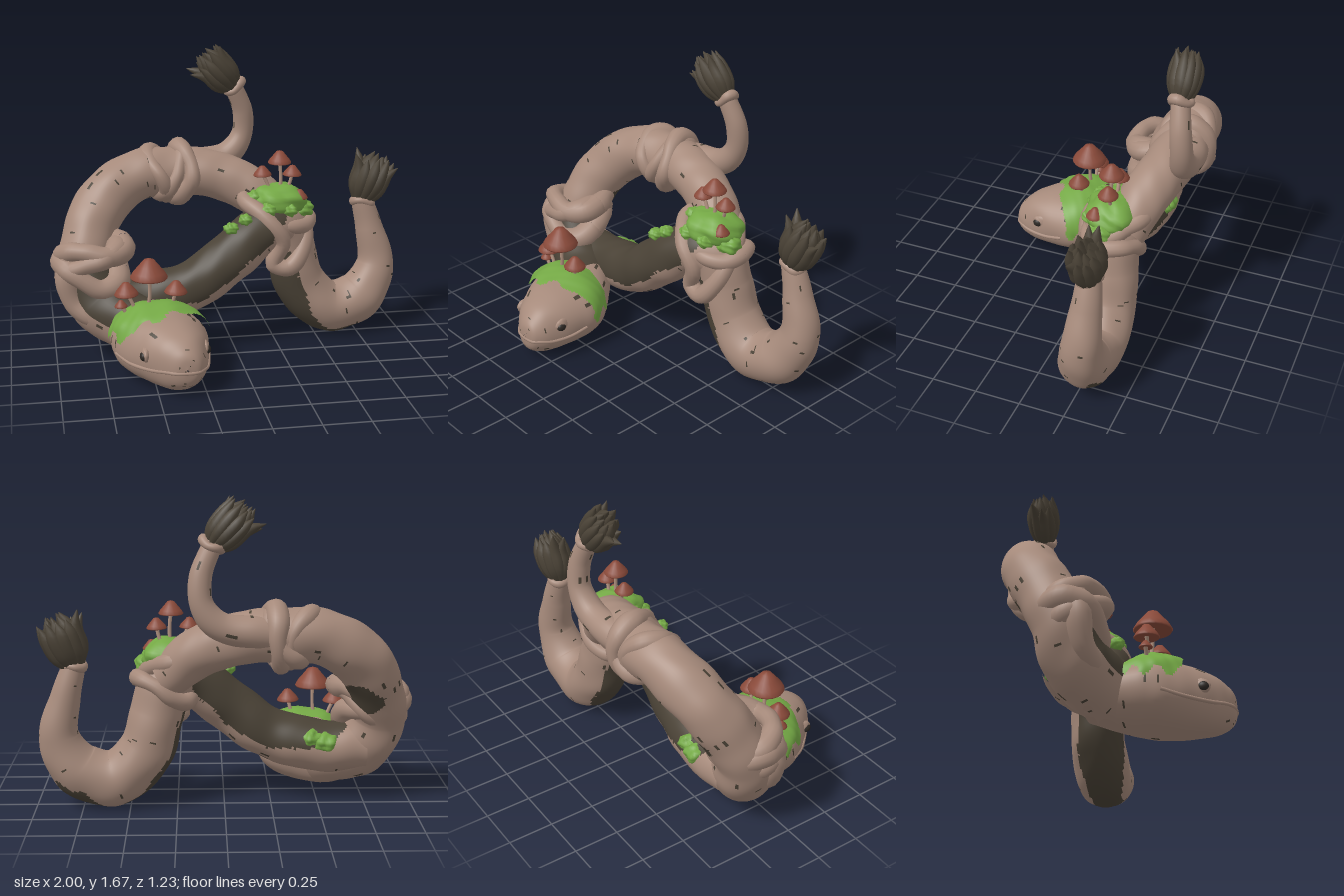
import * as THREE from 'three';

const V = (x, y, z) => new THREE.Vector3(x, y, z);
const mat = (name, color) => Object.assign(new THREE.MeshStandardMaterial({ color }), { name });
const skin = mat('skin', 0xa68a7b), dark = mat('dark bark', 0x4a4236), moss = mat('moss', 0x74a845);
const cap = mat('mushroom cap', 0x8a4a3a), stalk = mat('mushroom stalk', 0xb0917f), eyeMat = mat('eye', 0x2e2925);
const TAU = Math.PI * 2;
const hash = (i, j) => { const s = Math.sin(i * 127.1 + j * 311.7) * 43758.5453; return s - Math.floor(s); };
const wave = p => Math.sin(p.x * 23 + p.y * 11) * 0.5 + Math.sin(p.y * 29 - p.z * 17) * 0.3 + Math.sin(p.z * 41 + p.x * 37) * 0.2;
// Short cracks in the hide, along or around the limb
const crack = (i, j) => hash(Math.floor(i / 4), j + 31) < 0.008 || hash(i + 7, Math.floor(j / 2)) < 0.006;

// Closed-around surface; pick() gives each quad a material index, or -1 to leave it out
function surface(name, nu, nv, fn, mats, pick = () => 0) {
  const pos = [], lists = mats.map(() => []);
  for (let i = 0; i <= nu; i++) for (let j = 0; j < nv; j++) pos.push(...fn(i / nu, j / nv * TAU, i).toArray());
  const p = V(0, 0, 0);
  for (let i = 0; i < nu; i++) for (let j = 0; j < nv; j++) {
    const a = i * nv + j, d = i * nv + (j + 1) % nv, b = a + nv, c = d + nv;
    const k = pick(i, j, p.fromArray(pos, a * 3));
    if (k >= 0) lists[k].push(a, d, b, d, c, b);
  }
  const g = new THREE.BufferGeometry();
  g.setAttribute('position', new THREE.Float32BufferAttribute(pos, 3));
  g.setIndex(lists.flat());
  let start = 0;
  lists.forEach((l, k) => { g.addGroup(start, l.length, k); start += l.length; });
  g.computeVertexNormals();
  const m = new THREE.Mesh(g, mats.length > 1 ? mats : mats[0]);
  m.name = name;
  return m;
}

// Tube with varying radius. Row: x, y, z, radius, then optional dark direction and threshold
function tube(name, rows, { nu = 60, nv = 14, material = skin, closed = false, bump = 0.04 } = {}) {
  const path = new THREE.CatmullRomCurve3(rows.map(r => V(r[0], r[1], r[2])), closed);
  const aux = new THREE.CatmullRomCurve3(rows.map(r => V(r[3], r[7] ?? 2, 0)), closed, 'catmullrom');
  const dirs = rows.map(r => V(r[4] ?? 0, r[5] ?? 1, r[6] ?? 0).normalize());
  const painted = rows[0].length > 4, frames = [];
  let n = V(0.31, 0.2, 0.93);
  for (let i = 0; i <= nu; i++) {
    const t = i / nu, T = path.getTangent(t);
    n = n.clone().addScaledVector(T, -n.dot(T)).normalize();
    const f = t * (rows.length - 1), k = Math.min(Math.floor(f), rows.length - 2);
    const a = aux.getPoint(t);
    frames.push({ c: path.getPoint(t), n, b: T.clone().cross(n), r: a.x, thr: a.y,
      d: painted ? dirs[k].clone().lerp(dirs[k + 1], f - k).normalize() : null });
  }
  const radial = (f, v) => f.n.clone().multiplyScalar(Math.cos(v)).addScaledVector(f.b, Math.sin(v));
  const fn = (u, v, i) => {
    const f = frames[i], o = radial(f, v), p = f.c.clone().addScaledVector(o, f.r);
    return p.addScaledVector(o, f.r * bump * wave(p));
  };
  const pick = (i, j, p) => {
    const f = frames[i];
    const edge = f.thr + 0.13 * wave(p) + 0.03 * (hash(i, j) - 0.5);
    return radial(f, (j + 0.5) / nv * TAU).dot(f.d) > edge || crack(i, j) ? 1 : 0;
  };
  return painted ? surface(name, nu, nv, fn, [skin, dark], pick) : surface(name, nu, nv, fn, [material]);
}

// Rope ring wound around a limb
function wrap(name, c, axis, R, r, wob = 0.02) {
  const q = new THREE.Quaternion().setFromUnitVectors(V(0, 1, 0), axis.normalize());
  const rows = [];
  for (let i = 0; i < 10; i++) {
    const a = i / 10 * TAU, k = R * (1 + 0.06 * Math.sin(3 * a + c.x * 9));
    const p = V(Math.cos(a) * k, wob * Math.sin(2 * a + c.y * 5), Math.sin(a) * k).applyQuaternion(q).add(c);
    rows.push([p.x, p.y, p.z, r * (1 + 0.18 * Math.sin(2 * a + 1))]);
  }
  return tube(name, rows, { closed: true, bump: 0.12 });
}

// Lumpy ellipsoid
function blob(name, c, s, material, rough = 0.12) {
  return surface(name, 20, 28, (u, v) => {
    const th = u * Math.PI, p = V(Math.cos(v) * Math.sin(th), -Math.cos(th), -Math.sin(v) * Math.sin(th));
    const k = 1 + rough * wave(p.clone().multiplyScalar(0.3).add(c)) + rough * 0.4 * Math.sin(5 * v + c.x * 40) * Math.sin(th);
    return p.multiplyScalar(k).multiply(s).add(c);
  }, [material]);
}

// Leafy tail tuft, wider across than deep, with a few leaf tips turned out
function tuft(name, base, dir, L, R) {
  const g = new THREE.Group();
  g.name = name;
  const leaf = (a, len, w, mid, tip) => {
    const row = (k, y, r) => [Math.cos(a) * k * R, y * len, Math.sin(a) * k * R * 0.72, r];
    g.add(tube('tuftLeaf', [row(0.25, -0.03, w * 0.6), row(mid * 0.8, 0.3, w), row(mid, 0.68, w * 0.85), row(tip, 1, 0.002)],
      { nu: 12, nv: 8, material: dark, bump: 0.1 }));
  };
  for (let i = 0; i < 11; i++) {
    const a = i / 11 * TAU, out = Math.abs(Math.cos(a));
    leaf(a, L * (0.78 + 0.2 * hash(i, 3)), R * 0.32, 0.7, 0.55 + 0.6 * out * hash(i, 8) + 0.15 * out);
  }
  for (let i = 0; i < 7; i++) leaf(i / 7 * TAU + 0.3, L * (0.92 + 0.1 * hash(i, 5)), R * 0.36, 0.42, 0.3);
  g.position.copy(base);
  g.quaternion.setFromUnitVectors(V(0, 1, 0), dir.clone().normalize());
  return g;
}

function mushroom(x, y, z, r, fx, fy, fz) {
  const g = new THREE.Group();
  g.name = 'mushroom';
  const h = r * 1.1;
  const profile = [[0, 0.12], [0.6, 0.05], [0.95, -0.02], [1, 0.06], [0.85, 0.3], [0.55, 0.62], [0.28, 0.92], [0, 1]]
    .map(([a, b]) => new THREE.Vector2(a * r, b * h));
  const c = new THREE.Mesh(new THREE.LatheGeometry(profile, 20), cap);
  c.name = 'mushroomCap';
  c.position.set(x, y, z);
  c.rotation.z = (fx - x) * 0.9;
  g.add(c, tube('mushroomStalk', [[fx, fy, fz, 0.013], [(x + fx) / 2 + 0.008, (y + fy) / 2, (z + fz) / 2, 0.01],
    [x, y + h * 0.2, z, 0.011]], { nu: 10, nv: 8, material: stalk }));
  return g;
}

// Head sections, back to nose: z, centre x, half width, bottom y, top y
const HEAD = [[-0.1, -0.58, 0.14, 0.07, 0.34], [0, -0.52, 0.18, 0.05, 0.36], [0.1, -0.48, 0.225, 0.03, 0.365],
  [0.2, -0.46, 0.255, 0.015, 0.375], [0.3, -0.445, 0.24, 0.01, 0.37], [0.4, -0.42, 0.2, 0.015, 0.355],
  [0.5, -0.39, 0.145, 0.03, 0.32], [0.56, -0.37, 0.095, 0.06, 0.275], [0.59, -0.36, 0.055, 0.1, 0.235], [0.6, -0.36, 0.002, 0.16, 0.18]];
const headA = new THREE.CatmullRomCurve3(HEAD.map(h => V(h[0], h[1], h[2])), false, 'catmullrom');
const headB = new THREE.CatmullRomCurve3(HEAD.map(h => V(h[3], h[4], 0)), false, 'catmullrom');
function headPoint(u, v, grow = 0) {
  const a = headA.getPoint(u), b = headB.getPoint(u);
  const sq = t => Math.sign(t) * Math.abs(t) ** 0.94;
  const p = V(a.y + (a.z + grow) * sq(Math.cos(v)), (b.x + b.y) / 2 + ((b.y - b.x) / 2 + grow) * sq(Math.sin(v)), a.x);
  p.x += 0.006 * wave(p);
  return p;
}
// Moss thickens over the crown and thins to its rim
function mossPoint(u, v) {
  const p = headPoint(u, v);
  const hump = Math.max(0, 1 - ((p.z - 0.23) / 0.17) ** 2) * Math.max(0, Math.sin(v));
  return headPoint(u, v, 0.011 + 0.034 * hump + 0.006 * wave(p.multiplyScalar(2)));
}

export function createModel() {
  const g = new THREE.Group();

  // Main limbs
  g.add(tube('archBody', [
    [-0.47, 0.2, 0.15, 0.165, 0, 1, 0, 0.1], [-0.57, 0.22, 0, 0.165, 0, 1, 0, 0.1], [-0.74, 0.31, -0.12, 0.168, 0, 1, 0.4, 0.25],
    [-0.825, 0.48, -0.18, 0.15, 0.4, 0.2, 0.8, 0.3], [-0.79, 0.67, -0.27, 0.15, 0.6, -0.4, -0.7, 0.6], [-0.69, 0.84, -0.37, 0.15, 0.5, -0.4, -0.7, 1.2],
    [-0.5, 0.95, -0.43, 0.145, 0, 0, -1, 2], [-0.3, 0.965, -0.45, 0.14, 0, 0, -1, 2], [-0.05, 0.94, -0.42, 0.135, 0, 0, -1, 2],
    [0.15, 0.85, -0.36, 0.13, 0, 0, -1, 2], [0.3, 0.72, -0.3, 0.12, 0, 0, -1, 2]], { nu: 240, nv: 56 }));
  g.add(tube('lowerBody', [
    [-0.76, 0.31, -0.17, 0.13, -0.4, 0.85, 0, 1.2], [-0.5, 0.31, -0.17, 0.14, -0.4, 0.85, 0, 0.1], [-0.22, 0.385, -0.14, 0.14, -0.4, 0.85, 0, -0.4],
    [0, 0.545, -0.14, 0.14, -0.4, 0.85, 0, -0.4], [0.17, 0.67, -0.18, 0.14, -0.3, 0.9, 0, -0.25], [0.3, 0.68, -0.24, 0.145, -0.7, 0.3, 0.3, 0.7],
    [0.36, 0.5, -0.26, 0.145, -0.8, -0.4, 0.55, 0.5], [0.42, 0.31, -0.27, 0.15, -0.8, -0.6, 0.45, 0.5], [0.58, 0.165, -0.27, 0.15, 0, -1, 0.2, 0.77],
    [0.78, 0.22, -0.28, 0.14, 0.4, -0.8, -0.5, 0.9], [0.87, 0.4, -0.3, 0.108, 1, 0, 0, 2], [0.83, 0.62, -0.31, 0.08, 1, 0, 0, 2],
    [0.78, 0.8, -0.31, 0.058, 1, 0, 0, 2]], { nu: 300, nv: 56 }));
  g.add(tube('upperTail', [
    [-0.35, 0.96, -0.48, 0.09, 0, 1, 0, 2], [-0.15, 0.99, -0.52, 0.085, 0, 1, 0, 2], [0.03, 1.03, -0.54, 0.075, 0, 1, 0, 2],
    [0.12, 1.14, -0.55, 0.062, 0, 1, 0, 2], [0.125, 1.28, -0.54, 0.058, 0, 1, 0, 2], [0.08, 1.4, -0.52, 0.053, 0, 1, 0, 2],
    [0.055, 1.45, -0.51, 0.048, 0, 1, 0, 2]], { nu: 80, nv: 28 }));

  // Tail ends
  g.add(wrap('tailCollar', V(0.785, 0.78, -0.31), V(0.1, 1, 0), 0.048, 0.023, 0.01));
  g.add(wrap('tailCollar', V(0.068, 1.43, -0.515), V(-0.5, 0.9, 0.1), 0.048, 0.025, 0.01));
  g.add(tuft('lowerTuft', V(0.78, 0.79, -0.31), V(0.12, 0.28, -0.01), 0.29, 0.128));
  g.add(tuft('upperTuft', V(0.06, 1.43, -0.51), V(-0.17, 0.19, 0.01), 0.28, 0.115));

  // Rope knots
  g.add(wrap('leftKnot', V(-0.77, 0.61, -0.15), V(-0.15, 1, -0.1), 0.155, 0.058, 0.03));
  g.add(wrap('leftKnot', V(-0.79, 0.5, -0.14), V(0.25, 1, 0.3), 0.155, 0.06, 0.03));
  g.add(wrap('leftKnot', V(-0.78, 0.55, -0.14), V(-0.5, 0.9, -0.25), 0.16, 0.055, 0.02));
  g.add(tube('leftKnotTail', [[-0.92, 0.6, -0.08, 0.05], [-0.93, 0.47, -0.07, 0.062], [-0.89, 0.34, -0.06, 0.06],
    [-0.78, 0.25, -0.02, 0.05], [-0.66, 0.2, -0.02, 0.03]], { bump: 0.1 }));
  g.add(wrap('topKnot', V(-0.37, 0.96, -0.44), V(1, 0.45, 0.2), 0.128, 0.045));
  g.add(wrap('topKnot', V(-0.25, 0.955, -0.45), V(1, -0.1, -0.2), 0.138, 0.05));
  g.add(wrap('topKnot', V(-0.3, 0.945, -0.45), V(0.8, -0.5, 0.1), 0.132, 0.045));
  g.add(tube('rightKnot', [[0.08, 0.84, -0.25, 0.045], [0.18, 0.75, -0.1, 0.05], [0.27, 0.62, -0.09, 0.045], [0.23, 0.49, -0.12, 0.05],
    [0.31, 0.46, -0.11, 0.05], [0.4, 0.56, -0.14, 0.05], [0.42, 0.7, -0.22, 0.05], [0.37, 0.78, -0.32, 0.05], [0.25, 0.82, -0.4, 0.05]],
    { closed: true, bump: 0.12 }));
  g.add(wrap('rightKnot', V(0.31, 0.67, -0.26), V(-0.3, 1, -0.2), 0.14, 0.045, 0.03));

  // Head, with a moss collar grown over the crown
  g.add(surface('head', 90, 56, (u, v) => headPoint(u, v), [skin, dark], (i, j) => crack(i, j + 90) ? 1 : 0));
  g.add(surface('headMoss', 110, 90, mossPoint, [moss], (i, j, p) => {
    const l = Math.max(0, -0.46 - p.x), r = Math.max(0, p.x + 0.46), ragged = wave(p.clone().multiplyScalar(1.6));
    return p.z > 0.1 - r * 0.15 + 0.02 * ragged && p.z < 0.375 - r * 0.5 - l * 0.12 + 0.025 * ragged
      && p.y > 0.265 - r * 0.25 + 0.03 * Math.sin(p.z * 55) ? 0 : -1;
  }));
  for (const [u, v, s] of [[0.61, Math.PI - 0.18, -1], [0.58, 0.2, 1]]) {
    const p = headPoint(u, v);
    g.add(blob('eyelid', p.clone().add(V(-0.016 * s, 0.004, -0.004)), V(0.024, 0.04, 0.048), skin, 0.05));
    g.add(blob('eye', p.clone().add(V(-0.004 * s, 0, 0.01)), V(0.019, 0.024, 0.028), eyeMat, 0));
  }
  // Lip ridge from cheek to cheek
  const lip = [];
  for (const s of [-1, 1]) for (let i = 0; i < 5; i++) {
    const k = s < 0 ? i : 4 - i, v = -0.25 + 0.03 * (4 - k);
    const p = headPoint(0.42 + k * 0.12, s < 0 ? Math.PI - v : v);
    lip.push([p.x, p.y - 0.012 * Math.sin(k * 1.5), p.z - 0.004, 0.01]);
  }
  g.add(tube('lipRidge', lip, { nv: 10 }));

  // Moss patches: centre, size
  g.add(blob('shoulderMoss', V(0.27, 0.825, -0.24), V(0.165, 0.095, 0.145), moss, 0.1));
  for (const [x, y, z, s] of [[0.41, 0.775, -0.22, 0.065], [-0.02, 0.715, -0.08, 0.04], [0.06, 0.76, -0.085, 0.038], [0.2, 0.8, -0.12, 0.05],
    [0.32, 0.79, -0.13, 0.045], [0.14, 0.85, -0.22, 0.05], [-0.46, 0.37, -0.25, 0.065], [-0.54, 0.35, -0.26, 0.07]])
    g.add(blob('mossPatch', V(x, y, z), V(s, s * 0.8, s), moss, 0.15));

  // Mushrooms: cap centre, cap radius, foot
  for (const m of [[-0.51, 0.55, 0.21, 0.1, -0.52, 0.36, 0.2], [-0.63, 0.46, 0.2, 0.065, -0.58, 0.35, 0.2], [-0.37, 0.465, 0.22, 0.062, -0.42, 0.35, 0.2],
    [-0.66, 0.395, 0.2, 0.035, -0.63, 0.33, 0.2],
    [0.28, 1.04, -0.23, 0.066, 0.28, 0.86, -0.23], [0.185, 0.97, -0.24, 0.052, 0.23, 0.86, -0.24], [0.355, 0.965, -0.24, 0.054, 0.31, 0.86, -0.25],
    [0.385, 0.845, -0.18, 0.048, 0.36, 0.77, -0.19]]) g.add(mushroom(...m));

  return g;
}
